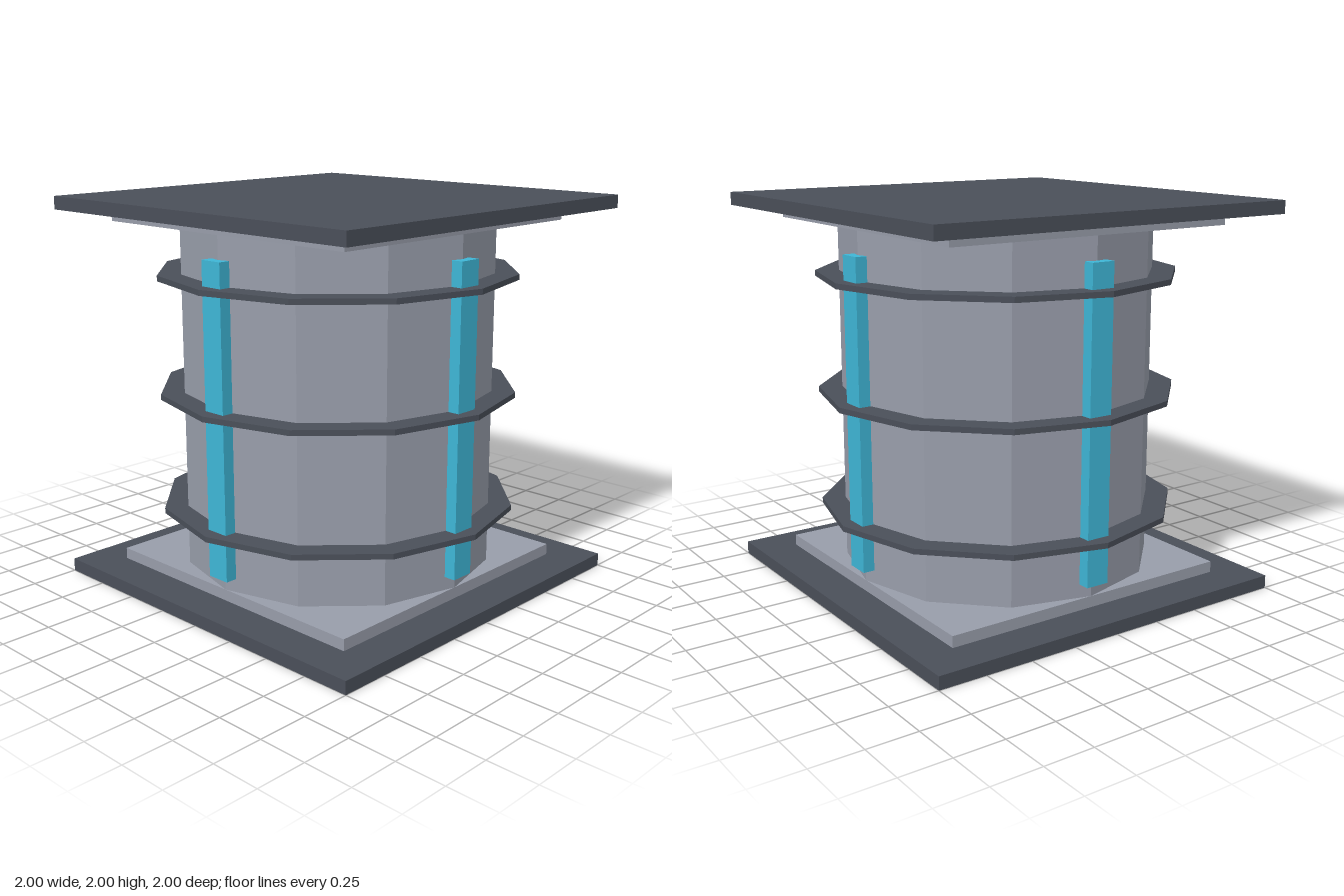
import * as THREE from 'three';

export function createModel() {
  const model = new THREE.Group();
  model.name = 'column';

  const makeMaterial = (name, color) => {
    const m = new THREE.MeshStandardMaterial({ color, flatShading: true });
    m.name = name;
    return m;
  };
  const darkMetal = makeMaterial('darkMetal', 0x4a4f59);
  const greyMetal = makeMaterial('greyMetal', 0x989daa);
  const cyanLight = makeMaterial('cyanLight', 0x3eb6d6);

  // Adds a mesh spanning the heights y0 to y1
  const add = (name, geometry, material, y0, y1) => {
    const mesh = new THREE.Mesh(geometry, material);
    mesh.name = name;
    mesh.position.y = (y0 + y1) / 2;
    model.add(mesh);
    return mesh;
  };
  const slab = (name, size, material, y0, y1) =>
    add(name, new THREE.BoxGeometry(size, y1 - y0, size), material, y0, y1);
  const drum = (name, radius, material, y0, y1) =>
    add(name, new THREE.CylinderGeometry(radius, radius, y1 - y0, 12), material, y0, y1);

  // Square end slabs with a smaller step inside each
  slab('basePlate', 2, darkMetal, 0, 0.067);
  slab('baseStep', 1.6, greyMetal, 0.067, 0.125);
  slab('topStep', 1.6, greyMetal, 1.875, 1.933);
  slab('topPlate', 2, darkMetal, 1.933, 2);

  // Twelve-sided shaft
  drum('shaft', 0.8, greyMetal, 0.125, 1.875);

  // Thin bands around the shaft
  for (const y of [0.422, 1.022, 1.622]) {
    drum('band', 0.92, darkMetal, y - 0.014, y + 0.014);
  }

  // Upright light strips on the four sides
  for (let i = 0; i < 4; i++) {
    const angle = (i * Math.PI) / 2;
    const strip = add('lightStrip', new THREE.BoxGeometry(0.125, 1.565, 0.06), cyanLight, 0.195, 1.76);
    strip.position.x = Math.sin(angle) * 0.816;
    strip.position.z = Math.cos(angle) * 0.816;
    strip.rotation.y = angle;
  }

  return model;
}
